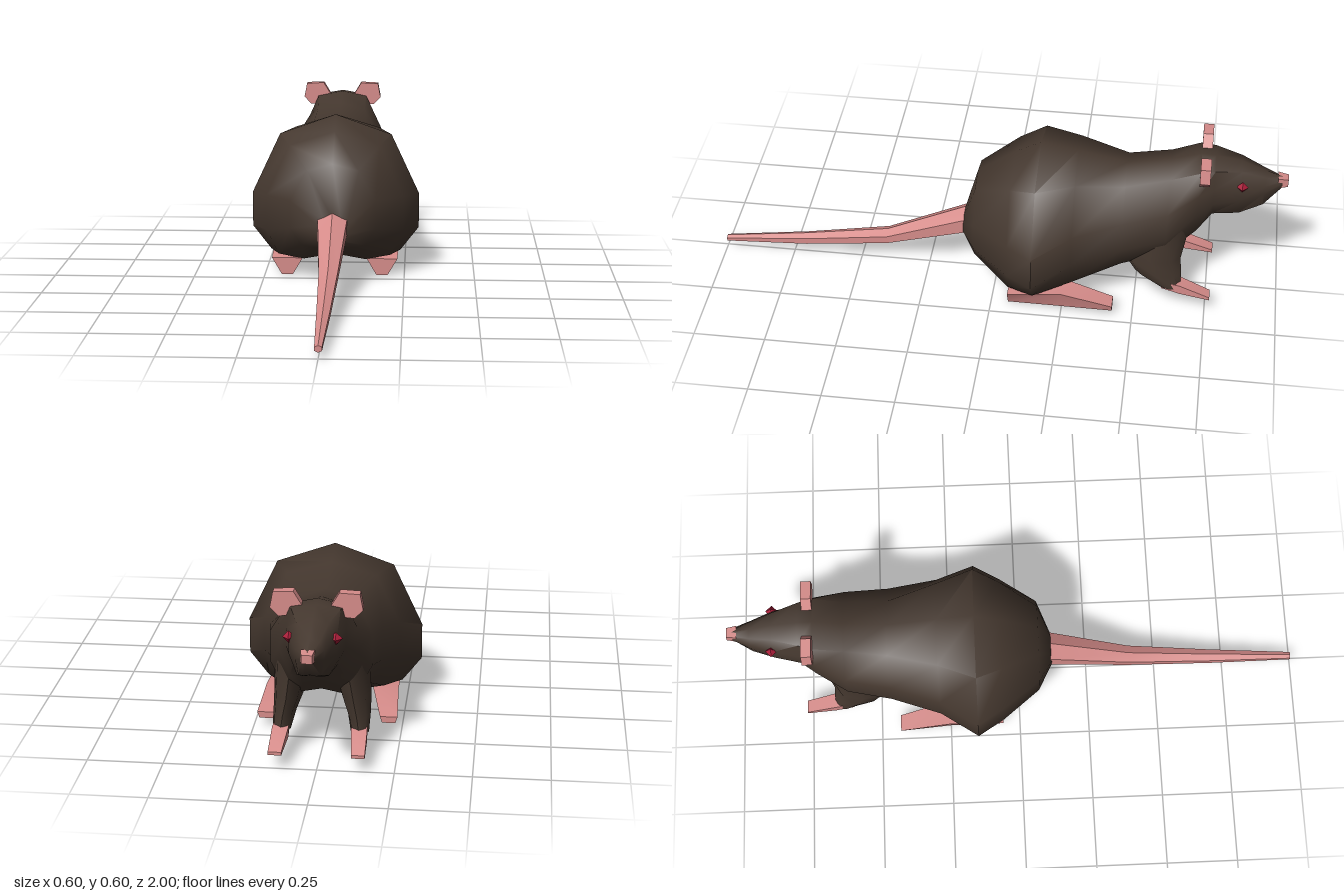
import * as THREE from 'three';
import { toCreasedNormals } from 'three/addons/utils/BufferGeometryUtils.js';

const material = (name, color) => {
  const m = new THREE.MeshStandardMaterial({ color });
  m.name = name;
  return m;
};

// Skins a list of equal-length rings of [x, y, z] points and caps both ends
function loft(rings, crease) {
  const n = rings[0].length, index = [];
  for (let i = 0; i < rings.length - 1; i++) {
    for (let j = 0; j < n; j++) {
      const k = (j + 1) % n, a = i * n + j, b = i * n + k;
      index.push(a, b, a + n, b, b + n, a + n);
    }
  }
  const end = (rings.length - 1) * n;
  for (let j = 1; j < n - 1; j++) index.push(0, j + 1, j, end, end + j, end + j + 1);
  const g = new THREE.BufferGeometry();
  g.setAttribute('position', new THREE.Float32BufferAttribute(rings.flat(2), 3));
  g.setIndex(index);
  return toCreasedNormals(g, crease);
}

// Reflects rings across x = 0, keeping faces outward
const reflect = rings => rings.map(r => r.map(([x, y, z]) => [-x, y, z]).reverse());

// Symmetric ring from half a cross-section, listed top to bottom
const fullRing = (z, half) => [
  ...half.map(([x, y]) => [x, y, z]),
  ...half.slice(1, -1).reverse().map(([x, y]) => [-x, y, z]),
];

// Body section: back ridge, shoulder, flat flank, underside; wide sections are rounder
const bodyRing = ([z, top, shoulder, width, high, low, under, bottom]) => fullRing(z, [
  [0, top],
  [shoulder, top - 0.008 - 0.7 * width * width],
  [width, high],
  [width, low],
  [under, bottom + 0.07 * width],
  [under * 0.55, bottom],
  [0, bottom + 0.08 * width],
]);

// Six-sided tail section
const tailRing = ([z, width, low, high]) => {
  const d = (high - low) * 0.24;
  return fullRing(z, [[0, high], [width, high - d], [width, low + d], [0, low]]);
};

// Four-sided section: top edge and bottom edge
const boxRing = ([z, t0, t1, ty, b0, b1, by]) =>
  [[t0, ty, z], [t1, ty, z], [b1, by, z], [b0, by, z]];

// Horizontal oval ring for the legs
const legRing = ([y, cx, cz, rx, rz]) => Array.from({ length: 8 }, (_, i) => {
  const a = i / 8 * Math.PI * 2;
  return [cx - Math.sin(a) * rx, y, cz + Math.cos(a) * rz];
});

export function createModel() {
  const group = new THREE.Group();
  const fur = material('dark fur', 0x45382f);
  const skin = material('pink skin', 0xd68c8a);
  const red = material('red eye', 0xa81c38);

  const add = (name, geometry, mat) => {
    const mesh = new THREE.Mesh(geometry, mat);
    mesh.name = name;
    group.add(mesh);
    return mesh;
  };
  const addPair = (name, rings, mat, crease) => {
    add('left' + name, loft(rings, crease), mat);
    add('right' + name, loft(reflect(rings), crease), mat);
  };

  // Body and head, from rump to snout
  add('body', loft([
    [.12, .25, .03, .05, .22, .19, .03, .165],
    [.07, .43, .09, .15, .3, .2, .11, .13],
    [-.06, .522, .16, .245, .29, .165, .2, .06],
    [-.15, .57, .2, .3, .285, .16, .235, .055],
    [-.28, .548, .15, .23, .34, .22, .18, .09],
    [-.45, .513, .1, .185, .385, .27, .15, .172],
    [-.6, .543, .09, .165, .42, .31, .12, .21],
    [-.7, .573, .092, .125, .48, .4, .09, .3],
    [-.75, .57, .078, .095, .49, .43, .07, .367],
    [-.84, .555, .05, .075, .495, .44, .05, .365],
    [-.92, .522, .03, .045, .485, .455, .035, .4],
    [-.98, .503, .012, .02, .488, .477, .015, .465],
  ].map(bodyRing), 1.0), fur);

  // Tail, tapering to the tip
  add('tail', loft([
    [1, .012, .022, .045], [.7, .022, .04, .085], [.4, .032, .08, .135], [.1, .052, .165, .272],
  ].map(tailRing), 0.6), skin);

  // Nose tip
  add('nose', loft([
    [-.965, -.022, .022, .505, -.022, .022, .466],
    [-1, -.017, .017, .5, -.017, .017, .472],
  ].map(boxRing), 0.5), skin);

  // Front legs and paws
  addPair('FrontLeg', [
    [.34, .09, -.58, .065, .1], [.2, .11, -.555, .05, .1],
    [.14, .122, -.58, .038, .08], [.09, .128, -.625, .03, .037],
  ].map(legRing), fur, 1.0);
  addPair('FrontPaw', [
    [-.595, .105, .15, .115, .105, .15, .088],
    [-.66, .102, .155, .107, .102, .155, .073],
    [-.765, .112, .156, .066, .112, .156, .055],
  ].map(boxRing), skin, 0.5);

  // Long hind feet, splayed outward
  addPair('HindFoot', [
    [-.06, .115, .225, .062, .15, .19, .002],
    [-.25, .14, .228, .086, .16, .212, .02],
    [-.43, .178, .237, .056, .185, .23, .034],
  ].map(boxRing), skin, 0.5);

  // Ears: thin angular plates
  const outline = [[.045, .56], [.072, .605], [.137, .602], [.147, .55], [.12, .522], [.08, .525]];
  for (const [side, s] of [['left', 1], ['right', -1]]) {
    const shape = new THREE.Shape(outline.map(([x, y]) => new THREE.Vector2(s * x, y)));
    const ear = new THREE.ExtrudeGeometry(shape, { depth: .035, bevelEnabled: false });
    add(side + 'Ear', ear, skin).position.z = -.735;
    // Eyes: small faceted beads
    const eye = add(side + 'Eye', new THREE.OctahedronGeometry(.021), red);
    eye.position.set(s * .073, .497, -.845);
  }
  return group;
}
